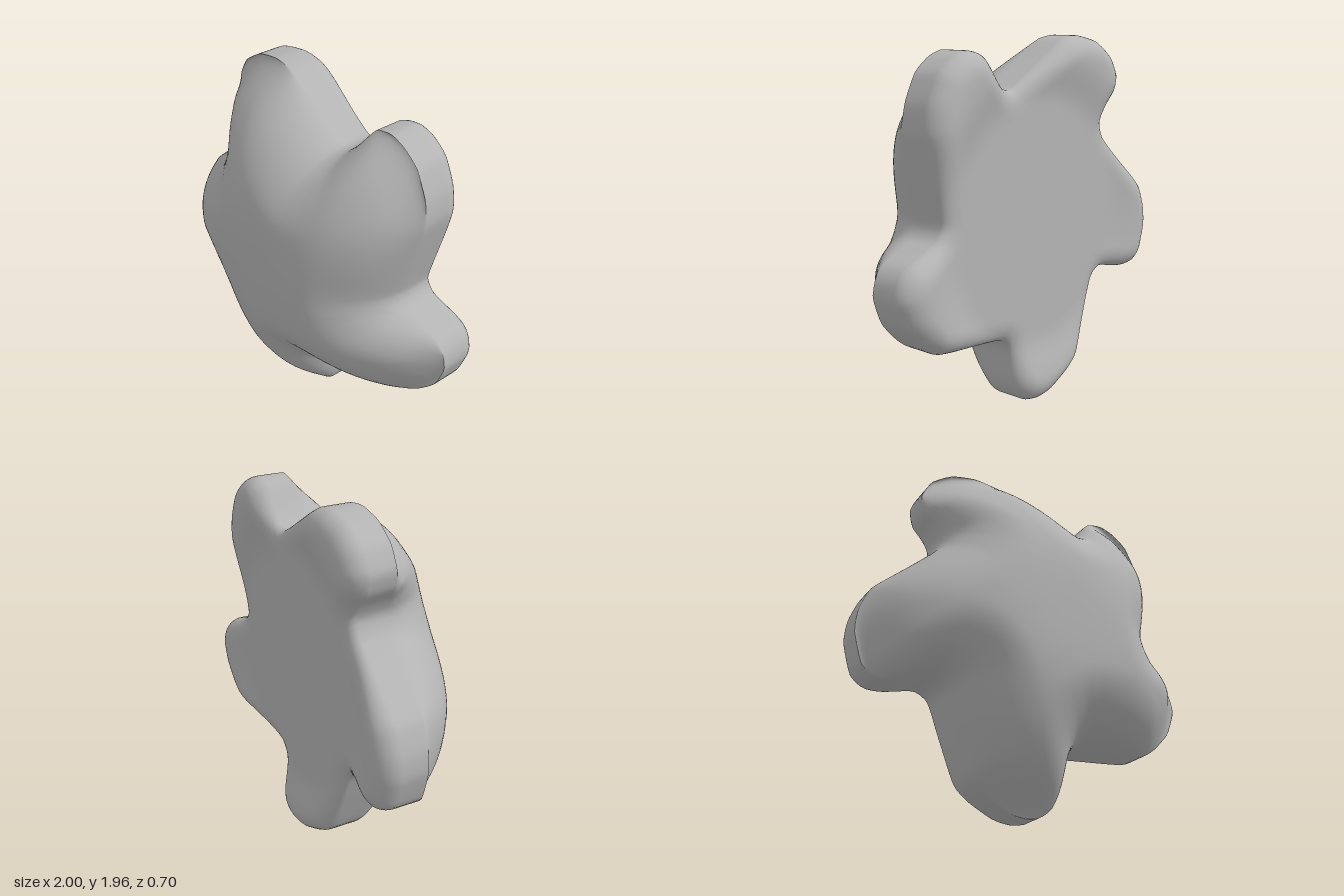
import * as THREE from 'three';
import { mergeVertices } from 'three/addons/utils/BufferGeometryUtils.js';

// Outline of the five-armed body, counter-clockwise from the lowest tip (x, y pairs)
const OUTLINE = [
  0, 0, 0.08, 0.015, 0.15, 0.07, 0.18, 0.15, 0.19, 0.25, 0.2, 0.33, 0.23, 0.38, 0.29, 0.405, 0.73, 0.45,
  0.85, 0.52, 0.95, 0.63, 1, 0.77, 0.98, 0.86, 0.93, 0.92, 0.84, 0.96, 0.73, 1.01, 0.69, 1.08,
  0.74, 1.3, 0.79, 1.53, 0.77, 1.67, 0.7, 1.81, 0.61, 1.88, 0.52, 1.91, 0.42, 1.89, 0.34, 1.79,
  0.27, 1.72, 0.2, 1.7, 0.12, 1.74, -0.05, 1.84, -0.22, 1.94, -0.35, 1.96, -0.5, 1.93, -0.62, 1.85,
  -0.68, 1.74, -0.66, 1.64, -0.6, 1.57, -0.56, 1.48, -0.6, 1.39, -0.75, 1.25, -0.93, 1.09, -0.99, 0.95,
  -1, 0.83, -0.95, 0.66, -0.87, 0.6, -0.77, 0.6, -0.6, 0.635, -0.52, 0.59, -0.45, 0.42, -0.34, 0.17,
  -0.25, 0.09, -0.1, 0.015,
];
const CENTRE_Y = 1, SPOKES = 200, RINGS = 32;
const FRONT_RIM = -0.1, BACK_RIM = -0.24; // the side wall spans these depths

function outlinePoints() {
  const pts = [];
  for (let i = 0; i < OUTLINE.length; i += 2) pts.push(new THREE.Vector3(OUTLINE[i], OUTLINE[i + 1] - CENTRE_Y, 0));
  return new THREE.CatmullRomCurve3(pts, true, 'catmullrom', 0.25).getSpacedPoints(SPOKES).slice(0, SPOKES);
}

// Shortest distance from (x, y) to the closed outline
function edgeDistance(x, y, rim) {
  let best = Infinity;
  rim.forEach((a, i) => {
    const b = rim[(i + 1) % rim.length];
    const dx = b.x - a.x, dy = b.y - a.y;
    const t = THREE.MathUtils.clamp(((x - a.x) * dx + (y - a.y) * dy) / (dx * dx + dy * dy), 0, 1);
    best = Math.min(best, Math.hypot(x - a.x - t * dx, y - a.y - t * dy));
  });
  return best;
}

// Quarter-round rise from the rim over the given radius
const round = (d, radius) => Math.sqrt(1 - (1 - Math.min(d / radius, 1)) ** 2);

// Domed front: wide slopes between the arms, tighter rounding along them
function frontZ(r, d) {
  const dome = 0.35 - 0.44 * r ** 3;
  const radius = 0.36 - 0.16 * THREE.MathUtils.smoothstep(r, 0.45, 0.9);
  return FRONT_RIM + (dome - FRONT_RIM) * round(d, radius);
}

// Nearly flat back, with the tips bent slightly rearwards
function backZ(r, d) {
  const flat = -0.3 - 0.05 * THREE.MathUtils.smoothstep(r, 0.62, 0.9);
  return BACK_RIM + (flat - BACK_RIM) * round(d, 0.12);
}

function bodyGeometry() {
  const rim = outlinePoints();
  const positions = [], indices = [];
  // Rings run from the front centre out to the rim, over the wall and back to the rear centre
  const last = 2 * RINGS + 1;
  for (let k = 0; k <= last; k++) {
    const front = k <= RINGS;
    const step = front ? k : last - k;
    const s = Math.sin((step / RINGS) * Math.PI / 2);
    for (const p of rim) {
      const x = p.x * s, y = p.y * s, r = Math.hypot(x, y);
      const d = step === RINGS ? 0 : edgeDistance(x, y, rim);
      positions.push(x, y + CENTRE_Y, front ? frontZ(r, d) : backZ(r, d));
    }
  }
  for (let k = 0; k < last; k++) {
    for (let j = 0; j < SPOKES; j++) {
      const n = (j + 1) % SPOKES;
      const a = k * SPOKES + j, b = k * SPOKES + n, c = a + SPOKES, e = b + SPOKES;
      if (k < last - 1) indices.push(a, c, e);
      if (k > 0) indices.push(a, e, b);
    }
  }
  const geometry = new THREE.BufferGeometry();
  geometry.setAttribute('position', new THREE.Float32BufferAttribute(positions, 3));
  geometry.setIndex(indices);
  const smooth = mergeVertices(geometry, 1e-5);
  smooth.computeVertexNormals();
  return smooth;
}

export function createModel() {
  const group = new THREE.Group();
  group.name = 'starfish';
  const grey = new THREE.MeshStandardMaterial({ color: 0xb4b4b4 });
  grey.name = 'grey';
  const body = new THREE.Mesh(bodyGeometry(), grey);
  body.name = 'starBody';
  group.add(body);
  return group;
}
